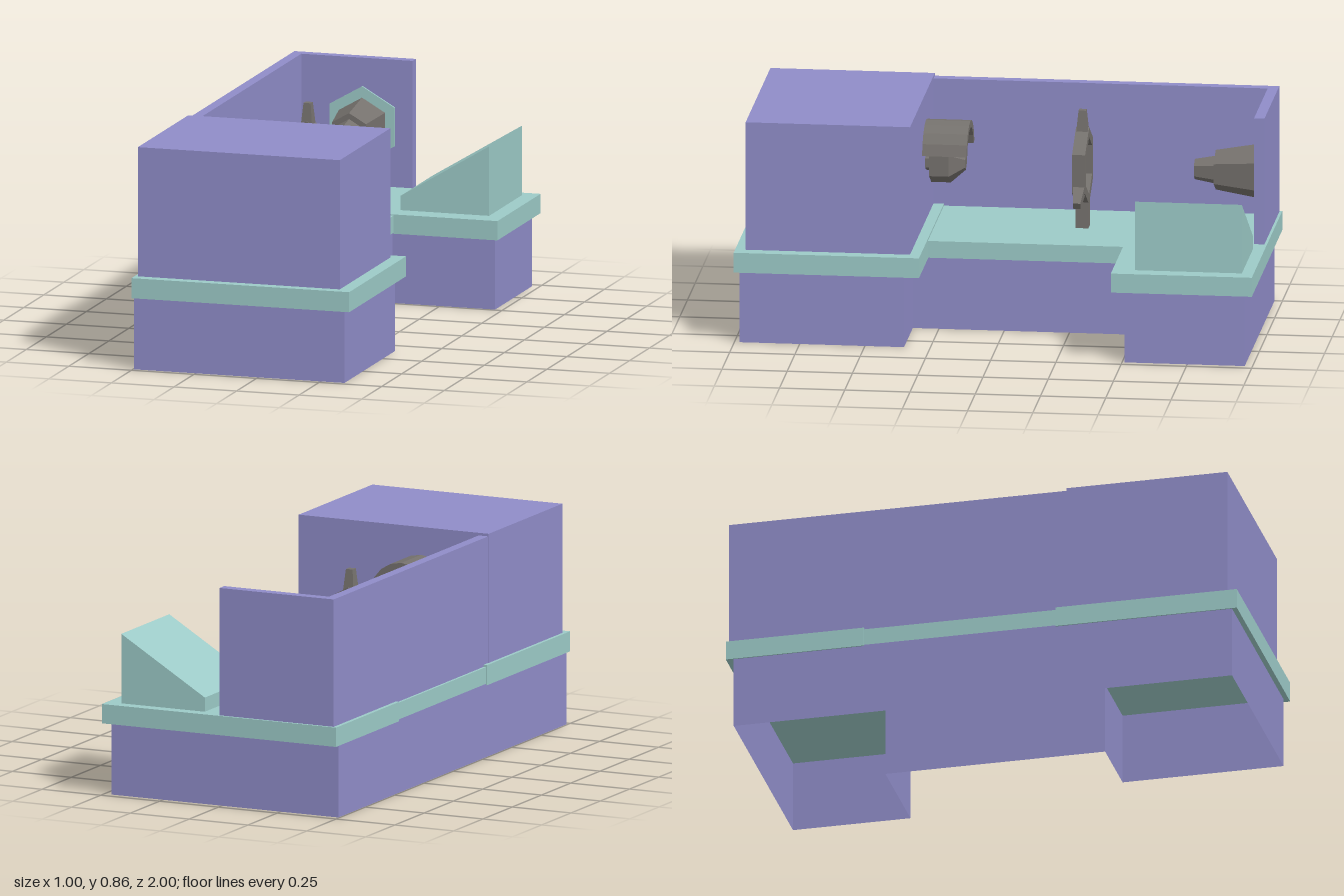
import * as THREE from 'three';

const makeMaterial = (color, side = THREE.FrontSide) =>
  new THREE.MeshStandardMaterial({ color, flatShading: true, side });

export function createModel() {
  const model = new THREE.Group();
  const purple = makeMaterial(0x8f8cc8);
  const purpleThin = makeMaterial(0x8f8cc8, THREE.DoubleSide);
  const teal = makeMaterial(0x9ccac7);
  const grey = makeMaterial(0x75716d);

  const add = (name, geometry, material, parent = model) => {
    const mesh = new THREE.Mesh(geometry, material);
    mesh.name = name;
    parent.add(mesh);
    return mesh;
  };
  // Box given by its low and high limits on each axis
  const block = (name, [x0, x1], [y0, y1], [z0, z1], material) =>
    add(name, new THREE.BoxGeometry(x1 - x0, y1 - y0, z1 - z0)
      .translate((x0 + x1) / 2, (y0 + y1) / 2, (z0 + z1) / 2), material);
  // Six-sided frustum along z, one corner up, on the spindle axis
  const axisX = -0.2, axisY = 0.59;
  const hexFrustum = (name, z0, z1, r0, r1, material, parent) =>
    add(name, new THREE.CylinderGeometry(r1, r0, z1 - z0, 6).rotateX(Math.PI / 2)
      .translate(axisX, axisY, (z0 + z1) / 2), material, parent);
  const polar = (r, a) => new THREE.Vector2(r * Math.cos(a), r * Math.sin(a));

  // Hollow plinth: thin walls around a C-shaped outline, open below
  const outline = [[-0.495, 0.98], [0.345, 0.98], [0.345, 0.35], [0.06, 0.35],
    [0.06, -0.51], [0.47, -0.51], [0.47, -0.97], [-0.495, -0.97]];
  const walls = [];
  outline.forEach(([x, z], i) => {
    const [nx, nz] = outline[(i + 1) % outline.length];
    walls.push(x, 0, z, nx, 0, nz, nx, 0.285, nz, x, 0, z, nx, 0.285, nz, x, 0.285, z);
  });
  const plinth = new THREE.BufferGeometry();
  plinth.setAttribute('position', new THREE.Float32BufferAttribute(walls, 3));
  plinth.computeVertexNormals();
  add('plinth', plinth, purpleThin);

  // Bed slabs
  block('frontSlab', [-0.5, 0.37], [0.28, 0.358], [0.29, 1], teal);
  block('middleSlab', [-0.495, 0.08], [0.284, 0.35], [-0.46, 0.29], teal);
  block('backSlab', [-0.5, 0.495], [0.28, 0.355], [-1, -0.46], teal);

  // Cabinet and splash walls
  block('cabinet', [-0.487, 0.32], [0.355, 0.86], [0.33, 0.96], purple);
  block('sideWall', [-0.485, -0.445], [0.35, 0.85], [-0.99, 0.33], purple);
  block('backWall', [-0.445, 0], [0.35, 0.85], [-0.99, -0.95], purple);

  // Sloping console
  const slope = new THREE.Shape([[0.08, 0.35], [0.435, 0.35], [0.435, 0.625], [0.08, 0.41]]
    .map(([x, y]) => new THREE.Vector2(x, y)));
  add('console', new THREE.ExtrudeGeometry(slope, { depth: 0.41, bevelEnabled: false })
    .translate(0, 0, -0.955), teal);

  // Tailstock on the back wall
  const tailstock = new THREE.Group();
  tailstock.name = 'tailstock';
  model.add(tailstock);
  hexFrustum('mountingPlate', -0.95, -0.942, 0.15, 0.15, teal, tailstock);
  hexFrustum('tailstockBody', -0.945, -0.78, 0.107, 0.078, grey, tailstock);
  hexFrustum('tailstockNose', -0.78, -0.7, 0.055, 0.04, grey, tailstock);

  // Chuck on the cabinet face
  const chuck = new THREE.Group();
  chuck.name = 'chuck';
  model.add(chuck);
  hexFrustum('chuckShaft', 0.31, 0.33, 0.035, 0.035, grey, chuck);
  hexFrustum('chuckBody', 0.235, 0.31, 0.082, 0.082, grey, chuck);
  hexFrustum('chuckNose', 0.177, 0.235, 0.03, 0.082, grey, chuck);

  // Arched hood over the chuck
  const arc = (r) => Array.from({ length: 9 }, (_, i) => polar(r, (10 + 20 * i) * Math.PI / 180));
  const arch = new THREE.Shape([...arc(0.132), ...arc(0.105).reverse()]);
  add('chuckHood', new THREE.ExtrudeGeometry(arch, { depth: 0.17, bevelEnabled: false })
    .translate(axisX, 0.62, 0.16), grey);

  // Steady rest: hexagonal ring, three tapered fingers and a post
  const rest = new THREE.Group();
  rest.name = 'steadyRest';
  rest.position.set(axisX, axisY, -0.27);
  model.add(rest);
  const hexagon = (r) => Array.from({ length: 6 }, (_, i) => polar(r, Math.PI / 6 + i * Math.PI / 3));
  const ring = new THREE.Shape(hexagon(0.152));
  ring.holes.push(new THREE.Path(hexagon(0.112)));
  add('restRing', new THREE.ExtrudeGeometry(ring, { depth: 0.05, bevelEnabled: false })
    .translate(0, 0, -0.025), grey, rest);
  for (let i = 0; i < 3; i++) {
    const finger = new THREE.CylinderGeometry(0.02, 0.034, 0.1, 4)
      .rotateY(Math.PI / 4).translate(0, 0.17, 0);
    add('restFinger', finger, grey, rest).rotation.z = i * Math.PI * 2 / 3;
  }
  add('restPost', new THREE.BoxGeometry(0.05, 0.12, 0.05).translate(0, -0.185, 0), grey, rest);

  return model;
}
